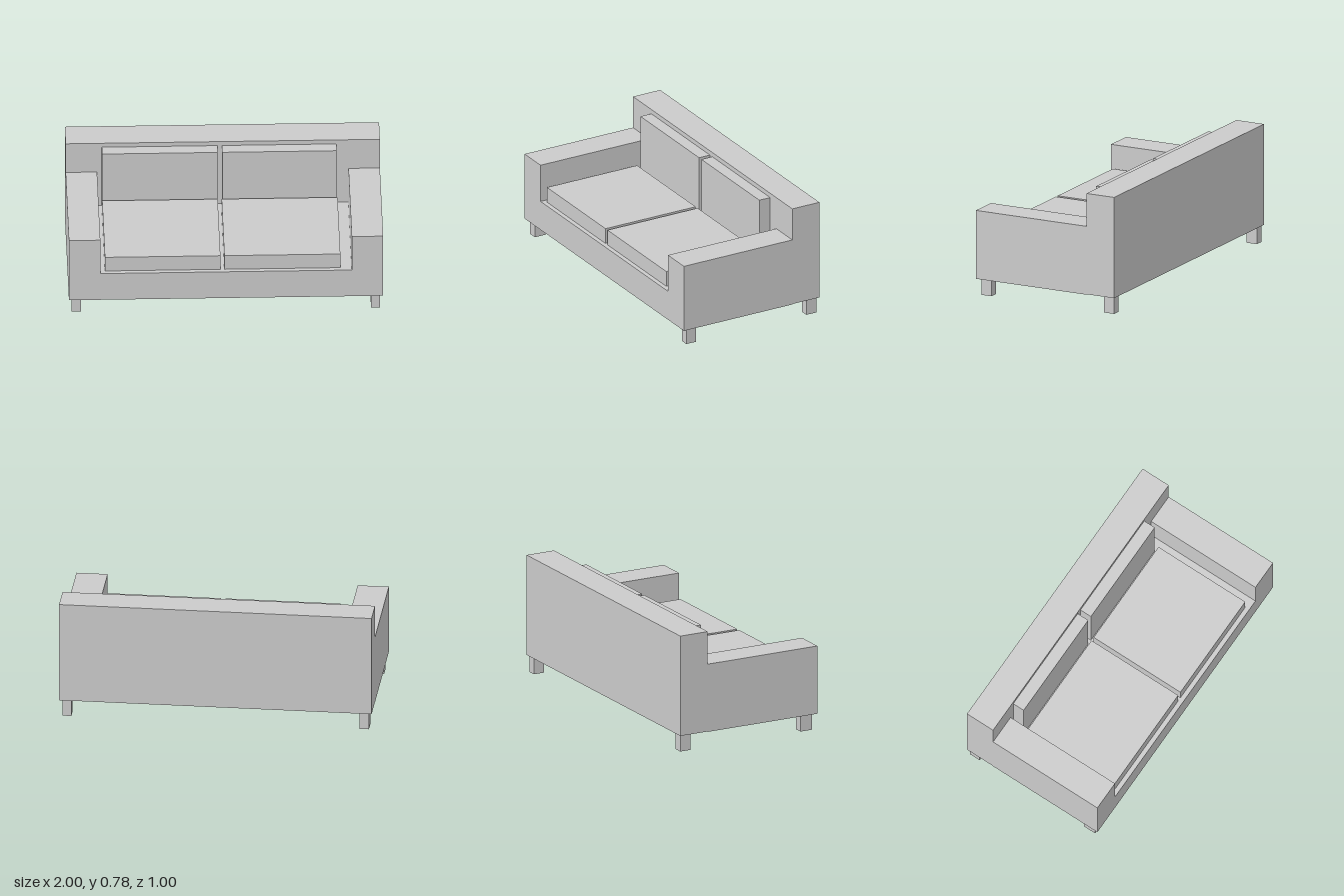
import * as THREE from 'three';

const material = new THREE.MeshStandardMaterial({ color: 0xcccccc, flatShading: true });

// Box given by its lower and upper corners
function block(name, [x0, y0, z0], [x1, y1, z1]) {
  const geometry = new THREE.BoxGeometry(x1 - x0, y1 - y0, z1 - z0);
  geometry.translate((x0 + x1) / 2, (y0 + y1) / 2, (z0 + z1) / 2);
  const mesh = new THREE.Mesh(geometry, material);
  mesh.name = name;
  return mesh;
}

export function createModel() {
  const sofa = new THREE.Group();
  sofa.name = 'sofa';

  // Base and both armrests: one U-shaped profile extruded front to back
  const profile = new THREE.Shape([
    [-1, 0.107], [1, 0.107], [1, 0.558], [0.8, 0.558],
    [0.8, 0.305], [-0.8, 0.305], [-0.8, 0.558], [-1, 0.558],
  ].map(([x, y]) => new THREE.Vector2(x, y)));
  const bodyGeometry = new THREE.ExtrudeGeometry(profile, { depth: 0.8, bevelEnabled: false });
  bodyGeometry.translate(0, 0, -0.3);
  const body = new THREE.Mesh(bodyGeometry, material);
  body.name = 'baseAndArmrests';
  sofa.add(body);

  // Backrest across the full width
  sofa.add(block('backrest', [-1, 0.11, -0.5], [1, 0.775, -0.3]));

  // Seat and back cushions, sitting slightly off centre
  sofa.add(block('rightSeatCushion', [-0.77, 0.305, -0.195], [-0.035, 0.408, 0.47]));
  sofa.add(block('leftSeatCushion', [-0.01, 0.305, -0.195], [0.728, 0.408, 0.47]));
  sofa.add(block('rightBackCushion', [-0.77, 0.305, -0.3], [-0.035, 0.745, -0.22]));
  sofa.add(block('leftBackCushion', [-0.005, 0.305, -0.3], [0.722, 0.745, -0.22]));

  // Four short legs
  sofa.add(block('rightFrontLeg', [-0.982, 0, 0.387], [-0.922, 0.107, 0.47]));
  sofa.add(block('leftFrontLeg', [0.923, 0, 0.398], [0.98, 0.107, 0.47]));
  sofa.add(block('rightBackLeg', [-0.982, 0, -0.49], [-0.922, 0.11, -0.415]));
  sofa.add(block('leftBackLeg', [0.923, 0, -0.49], [0.98, 0.11, -0.415]));

  return sofa;
}
